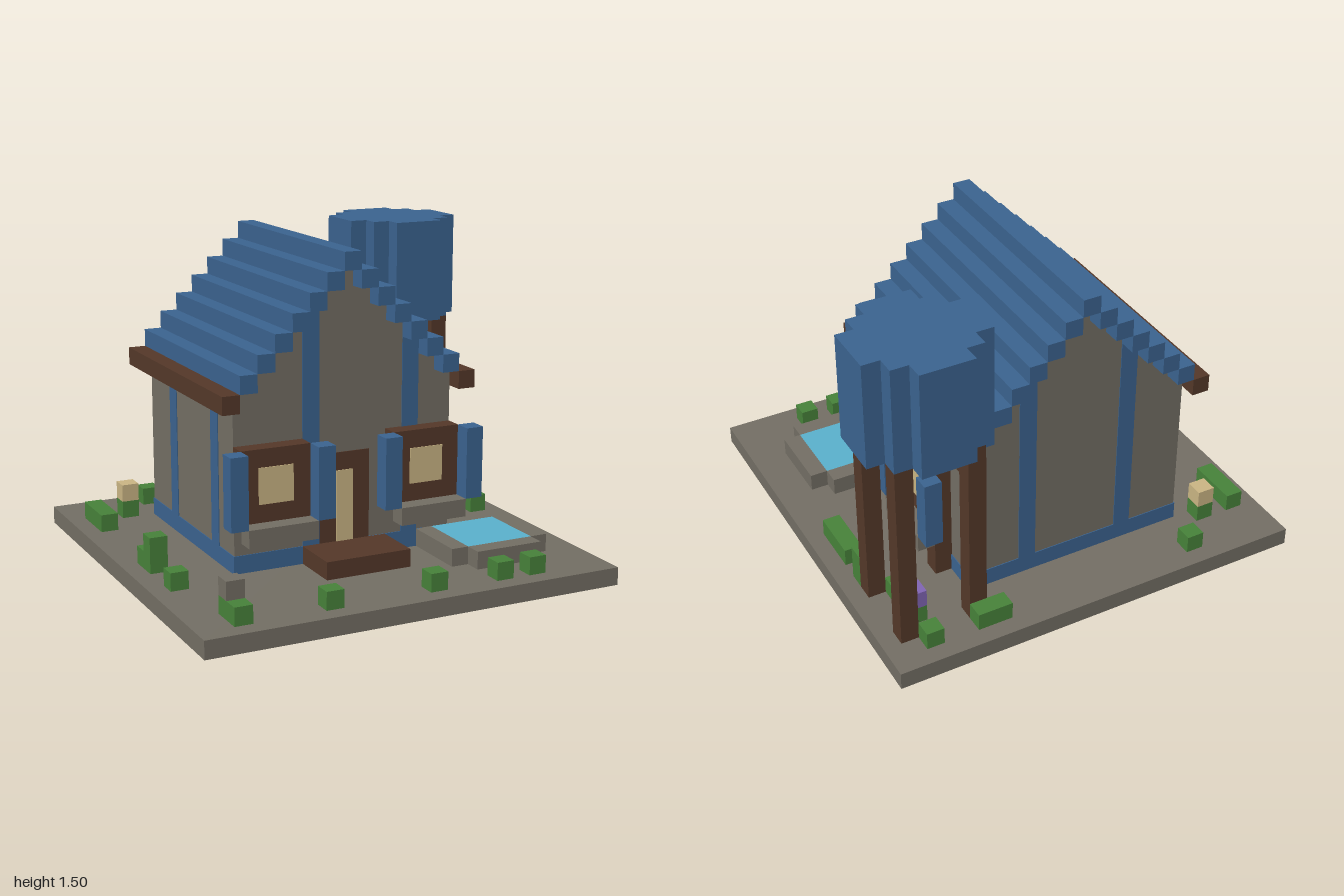
import * as THREE from 'three';

const U = 1 / 12; // one block
const P = 0.05; // how far painted plates stand proud, in blocks

function mat(name, color) {
  const m = new THREE.MeshStandardMaterial({ color });
  m.name = name;
  return m;
}

export function createModel() {
  const stone = mat('stone', 0x736e64);
  const blue = mat('blue', 0x3b638f);
  const wood = mat('wood', 0x543829);
  const leaf = mat('leaf', 0x47823a);
  const cream = mat('cream', 0xcab584);
  const water = mat('water', 0x5ab1cd);
  const purple = mat('purple', 0x8064b4);

  const model = new THREE.Group();
  model.name = 'cottage';

  // Box between block coordinates [x0, x1], [y0, y1], [z0, z1]
  function box(name, material, [x0, x1], [y0, y1], [z0, z1], parent = model) {
    const g = new THREE.BoxGeometry((x1 - x0) * U, (y1 - y0) * U, (z1 - z0) * U);
    const mesh = new THREE.Mesh(g, material);
    mesh.position.set((x0 + x1) * U / 2, (y0 + y1) * U / 2, (z0 + z1) * U / 2);
    mesh.name = name;
    parent.add(mesh);
    return mesh;
  }

  function group(name) {
    const g = new THREE.Group();
    g.name = name;
    model.add(g);
    return g;
  }

  box('ground', stone, [-12, 12], [0, 1], [-12, 12]);

  // House body with stepped gables
  const left = [], right = [];
  for (let i = 0; i < 7; i++) {
    left.push([-7 + i, 11 + i]);
    if (i < 6) left.push([-6 + i, 11 + i]);
    right.push([6 - i, 11 + i]);
    if (i < 6) right.push([5 - i, 11 + i]);
  }
  const outline = [[-7, 1], [6, 1], ...right, ...left.reverse()];
  const shape = new THREE.Shape(outline.map(([x, y]) => new THREE.Vector2(x * U, y * U)));
  const walls = new THREE.Mesh(
    new THREE.ExtrudeGeometry(shape, { depth: 12 * U, bevelEnabled: false }), stone);
  walls.position.z = -8 * U;
  walls.name = 'walls';
  model.add(walls);

  // Painted base band and upright stripes
  const trim = group('wallTrim');
  box('baseBand', blue, [-7 - P, 6 + P], [1, 2], [-8 - P, 4 + P], trim);
  for (const [x, top] of [[-3, 15], [3, 13]]) {
    box('frontStripe', blue, [x, x + 1], [2, top], [4, 4 + P], trim);
  }
  for (const x of [-4, 2]) {
    box('backStripe', blue, [x, x + 1], [2, 14], [-8 - P, -8], trim);
  }
  for (const z of [-5, 1]) {
    box('leftWallStripe', blue, [6, 6 + P], [2, 11], [z, z + 1], trim);
    box('rightWallStripe', blue, [-7 - P, -7], [2, 11], [z, z + 1], trim);
  }

  // Stepped roof and eave beams
  const roof = group('roof');
  for (let i = 0; i < 7; i++) {
    box('roofStep', blue, [-7 + i, -6 + i], [11 + i, 12 + i], [-9, 5], roof);
    if (i < 6) box('roofStep', blue, [5 - i, 6 - i], [11 + i, 12 + i], [-9, 5], roof);
  }
  for (const x of [-8, 6]) box('eaveBeam', wood, [x, x + 1], [10, 11], [-9, 5], roof);

  // Front windows
  for (const x of [-7, 2]) {
    const w = group('frontWindow');
    box('frame', wood, [x, x + 4], [4, 8], [4, 5], w);
    box('pane', cream, [x + 1, x + 3], [5, 7], [5, 5 + P], w);
    box('sill', stone, [x, x + 4], [3, 4], [5, 6], w);
    for (const s of [x - 1, x + 4]) box('shutter', blue, [s, s + 1], [4, 8], [5, 6], w);
  }

  // Side window
  const side = group('sideWindow');
  box('frame', wood, [6, 7], [4, 8], [-6, -2], side);
  box('pane', cream, [7, 7 + P], [5, 7], [-5, -3], side);
  box('sill', stone, [7, 8], [3, 4], [-6, -2], side);
  for (const z of [-7, -2]) box('shutter', blue, [7, 8], [4, 8], [z, z + 1], side);

  // Door and doorstep
  const door = group('door');
  box('doorFrame', wood, [-2, 1], [2, 7], [4, 4 + P], door);
  box('doorPanel', cream, [-1, 0], [2, 6], [4 + P, 4 + 2 * P], door);
  box('doorstep', wood, [-3, 2], [1, 2], [4, 7], door);

  // Pool with a stone rim
  const pool = group('pool');
  box('water', water, [5, 9], [1, 2], [4, 8], pool);
  box('rimLeft', stone, [9, 10], [1, 2], [4, 8], pool);
  box('rimRight', stone, [4, 5], [1, 2], [4, 8], pool);
  box('rimFront', stone, [5, 9], [1, 2], [8, 9], pool);
  box('rimBack', stone, [6, 9], [1, 2], [3, 4], pool);

  // Water tower: a rounded tank on four legs
  const tower = group('waterTower');
  const ring = [[5, -9], [5, -6], [6, -6], [6, -5], [7, -5], [7, -4], [10, -4], [10, -5], [11, -5], [11, -6],
    [12, -6], [12, -9], [11, -9], [11, -10], [10, -10], [10, -11], [7, -11], [7, -10], [6, -10], [6, -9]];
  const tankShape = new THREE.Shape(ring.map(([x, z]) => new THREE.Vector2(x * U, -z * U)));
  const tank = new THREE.Mesh(
    new THREE.ExtrudeGeometry(tankShape, { depth: 6 * U, bevelEnabled: false }), blue);
  tank.rotation.x = -Math.PI / 2;
  tank.position.y = 12 * U;
  tank.name = 'tank';
  tower.add(tank);
  for (const x of [6, 10]) {
    for (const z of [-10, -6]) box('towerLeg', wood, [x, x + 1], [1, 12], [z, z + 1], tower);
  }

  // Bushes: x, z, width, depth, height
  const garden = group('garden');
  const bushes = [
    [-7, -11, 1, 1, 1], [5, -11, 2, 1, 1], [9, -11, 1, 1, 1], [9, -9, 1, 3, 1],
    [10, -5, 1, 1, 2], [10, -3, 1, 3, 1], [-11, -9, 1, 3, 1], [-11, 0, 1, 1, 1],
    [-11, 1, 1, 1, 2], [-11, 4, 1, 1, 1], [-10, 10, 1, 1, 1], [-5, 10, 1, 1, 1],
    [1, 10, 1, 1, 1], [5, 10, 1, 1, 1], [7, 10, 1, 1, 1], [-10, 9, 1, 1, 1], [-9, -9, 1, 1, 1],
  ];
  for (const [x, z, w, d, h] of bushes) {
    box('bush', leaf, [x, x + w], [1, 1 + h], [z, z + d], garden);
  }

  // Flowers on top of their green stems
  for (const [x, z, m] of [[9, -9, purple], [-9, -9, cream], [-10, 9, stone]]) {
    box('flower', m, [x, x + 1], [2, 3], [z, z + 1], garden);
  }

  return model;
}
